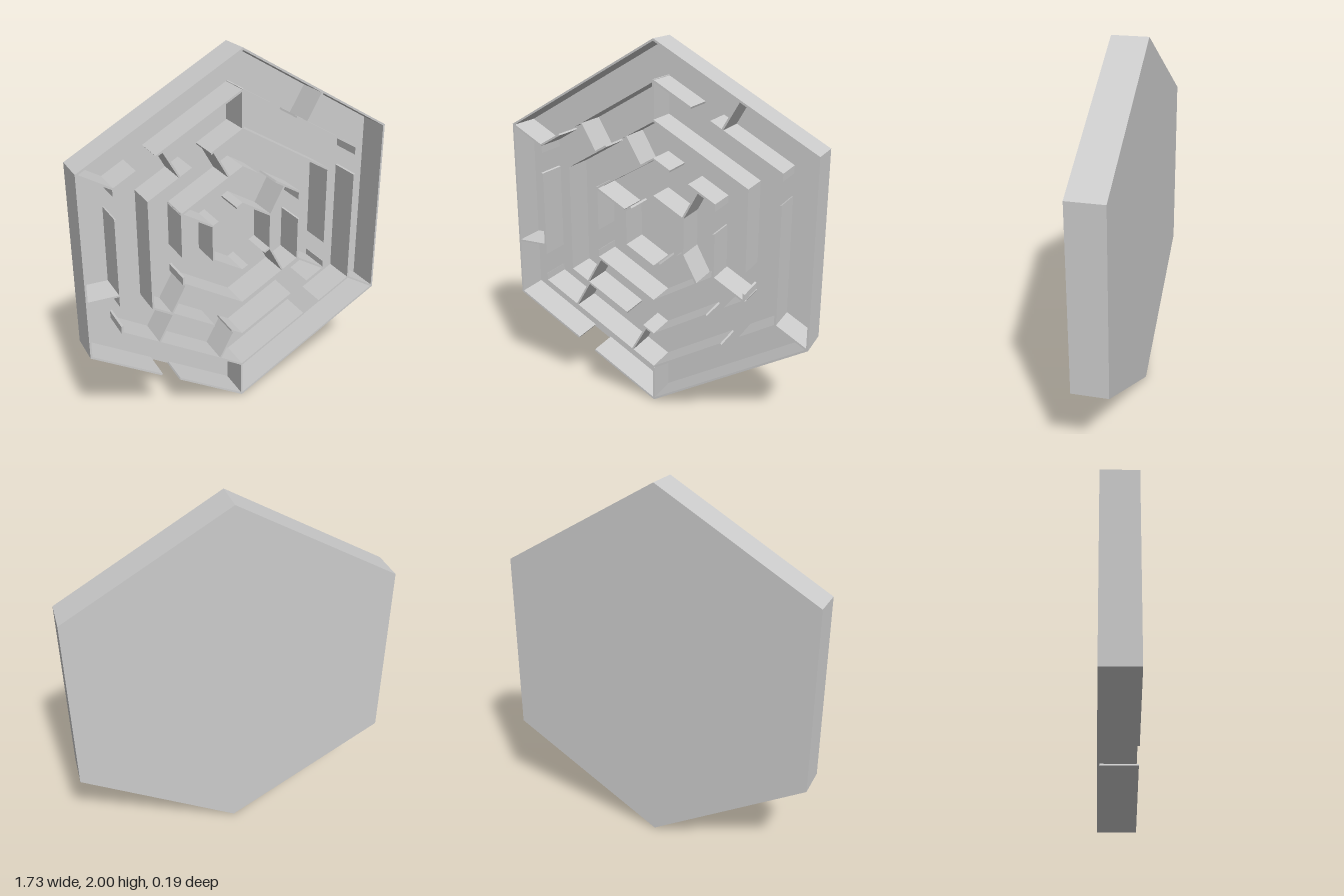
import * as THREE from 'three';

const DEPTH = 0.19, FLOOR = 0.01, WALL = 0.012, STEP = 0.2, GAP = 0.118;
const material = new THREE.MeshStandardMaterial({ color: 0xcccccc, flatShading: true });

// Hexagon corner, clockwise from the top, about the origin
const corner = (r, i) => {
  const a = Math.PI / 2 - (i * Math.PI) / 3;
  return new THREE.Vector2(r * Math.cos(a), r * Math.sin(a));
};

// Upright prism from an outline, spanning z0 to z1
function prism(name, points, z0, z1) {
  const geometry = new THREE.ExtrudeGeometry(new THREE.Shape(points), { depth: z1 - z0, bevelEnabled: false });
  geometry.translate(0, 0, z0);
  const mesh = new THREE.Mesh(geometry, material);
  mesh.name = name;
  return mesh;
}

// Doorway centres along each side: ring -> side -> fractions of the side
// sides: 0 upper right, 1 right, 2 lower right, 3 lower left, 4 left, 5 upper left
const doors = {
  1: { 2: [0.5], 5: [0.5] },
  2: { 0: [0.42], 1: [0.25], 4: [0.25] },
  3: { 1: [0.833], 2: [0.3], 3: [0.225], 5: [0.56] },
  4: { 0: [0.375], 1: [0.125], 2: [0.35], 4: [0.125, 0.875], 5: [0.25] },
  5: { 3: [0.5] },
};

// Cross walls between rings: x0, y0, x1, y1 about the centre
const crossWalls = [
  [0.376, 0.583, 0.462, 0.733], [-0.86, 0.496, -0.69, 0.398], [-0.86, -0.18, -0.69, -0.18],
  [0, -0.8, 0, -0.99], [0.69, -0.398, 0.86, -0.496],
  [0, 0.8, 0, 0.6], [-0.432, 0.55, -0.347, 0.4], [-0.49, -0.515, -0.404, -0.365], [-0.137, -0.72, -0.052, -0.57],
  [-0.163, 0.505, -0.078, 0.355], [-0.413, -0.36, -0.328, -0.21], [0.346, -0.2, 0.52, -0.3],
  [-0.346, 0.2, -0.173, 0.1], [0.168, 0.1, 0.25, 0.253], [0.168, -0.1, 0.25, -0.253],
];

export function createModel() {
  const model = new THREE.Group();
  model.name = 'hexagonalMaze';
  const back = -DEPTH / 2, front = DEPTH / 2, floorTop = back + FLOOR;

  // Back plate
  model.add(prism('backPlate', [5, 4, 3, 2, 1, 0].map((i) => corner(1, i)), back, floorTop));

  // Concentric walls, mitred at the corners and broken by doorways
  for (let k = 1; k <= 5; k++) {
    const ring = new THREE.Group();
    ring.name = `ringWall${k}`;
    const r = k * STEP;
    for (let side = 0; side < 6; side++) {
      const at = (radius, t) => corner(radius, side).lerp(corner(radius, side + 1), t);
      const cuts = [0];
      for (const t of doors[k][side] ?? []) cuts.push(t - GAP / 2 / r, t + GAP / 2 / r);
      cuts.push(1);
      for (let c = 0; c < cuts.length; c += 2) {
        const [a, b] = [cuts[c], cuts[c + 1]];
        ring.add(prism('wallSection', [at(r, a), at(r - WALL, a), at(r - WALL, b), at(r, b)], floorTop, front));
      }
    }
    model.add(ring);
  }

  // Cross walls that block the corridors
  for (const [x0, y0, x1, y1] of crossWalls) {
    const length = Math.hypot(x1 - x0, y1 - y0);
    const wall = new THREE.Mesh(new THREE.BoxGeometry(length, 0.01, front - floorTop), material);
    wall.position.set((x0 + x1) / 2, (y0 + y1) / 2, (front + floorTop) / 2);
    wall.rotation.z = Math.atan2(y1 - y0, x1 - x0);
    wall.name = 'crossWall';
    model.add(wall);
  }

  model.position.y = 1;
  const root = new THREE.Group();
  root.add(model);
  return root;
}
